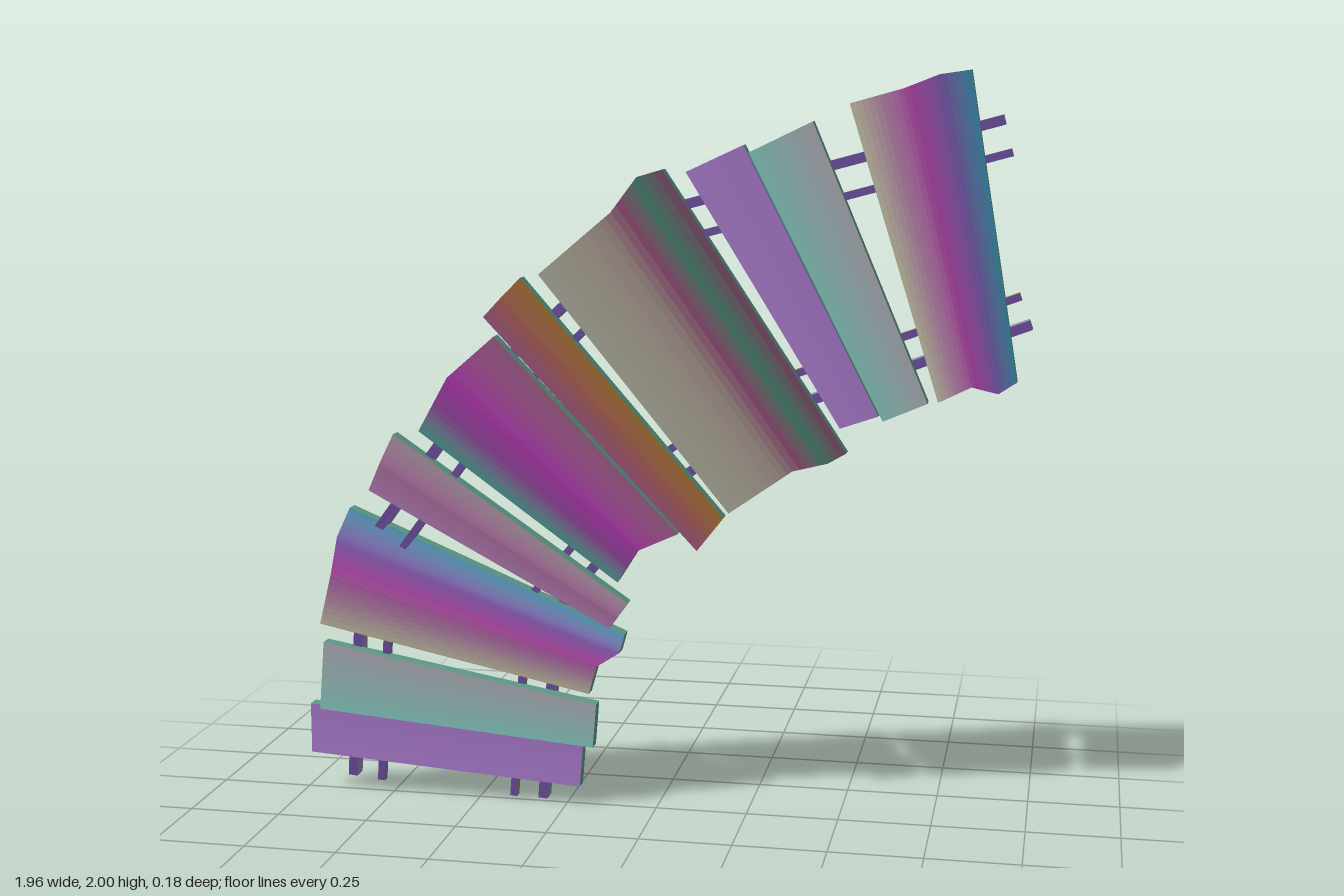
import * as THREE from 'three';
import { toCreasedNormals } from 'three/addons/utils/BufferGeometryUtils.js';

const STEPS = 20; // strips across a plank
const paint = (color) => new THREE.MeshStandardMaterial({ color });

// Solid from equal closed cross-section loops, capped at both ends
// (each loop holds n front points followed by n back points in reverse);
// materials: the caps first, then one for each side of the loop
function loft(name, loops, crease, materials) {
  const m = loops[0].length, n = m / 2, index = [];
  const geometry = new THREE.BufferGeometry();
  const quad = (a, b, c, d, material) => {
    geometry.addGroup(index.length, 6, material);
    index.push(a, b, c, a, c, d);
  };
  for (let s = 0; s < loops.length - 1; s++) {
    for (let k = 0; k < m; k++) {
      const j = (k + 1) % m, a = s * m, b = a + m;
      quad(a + k, b + k, b + j, a + j, k + 1);
    }
  }
  const e = (loops.length - 1) * m;
  for (let i = 0; i < n - 1; i++) {
    const b = m - 1 - i;
    quad(i, i + 1, b - 1, b, 0);
    quad(e + i, e + b, e + b - 1, e + i + 1, 0);
  }
  geometry.setFromPoints(loops.flat());
  geometry.setIndex(index);
  const mesh = new THREE.Mesh(toCreasedNormals(geometry, crease), materials);
  mesh.name = name;
  return mesh;
}

// Plank styles: front and back colours across the width, and
// a profile of [fraction, outer bulge, inner bulge, drop]
const flat = [[0, 0, 0, 0], [1, 0, 0, 0]];
const rounded = [[0, 0, 0, 0.005], [0.5, 0, 0, 0], [1, 0, 0, 0.012]];
const violet = { profile: flat, front: [0xaa7acb, 0xa474c6], back: [0xd29f6c, 0xcc9a6a] };
const teal = { profile: flat, front: [0x80c4bc, 0xa8a6b0], back: [0xd8876f, 0xcc8468] };
const rolled = {
  profile: [[0, 0, 0, 0.01], [0.45, 0, -0.02, 0], [0.75, 0.01, 0.015, 0.012], [1, 0, 0, 0.035]],
  front: [0xc0bca0, 0xb080a4, 0xb03fa6, 0x7a58b0, 0x3592b2],
  back: [0xd0a850, 0xcfc038, 0xa8ac34, 0x5fa630, 0xc84754],
};
const mauve = { profile: rounded, front: [0xb07ab0, 0xaa6a9c, 0xa08c98], back: [0xa0a838, 0x68b028, 0x5fa630] };
const folded = {
  profile: [[0, 0, 0, 0.025], [0.5, 0.028, -0.033, 0], [1, 0, 0, 0]],
  front: [0x46a098, 0x94489e, 0xb036b0, 0xa85098, 0x9a5c80],
  back: [0x4887d8, 0x6478d6, 0x7d6cd6],
};
const brown = { profile: rounded, front: [0xa05480, 0xa45c4c, 0xa06c24], back: [0x7d6cd6, 0x8757d8] };
const ridged = {
  profile: [[0, 0, 0, 0], [0.6, 0, -0.025, 0], [0.85, 0.027, 0, 0.015], [1, 0, 0, 0.035]],
  front: [0xa8a898, 0xa8a494, 0xa89c90, 0xa09088, 0x8c4470, 0x387c68, 0x7c3864],
  back: [0x90b0a4, 0xb0ac94, 0xcc9f78, 0xc09c70],
};

// Colour at fraction u along an evenly spaced ramp
function ramp(colors, u) {
  const t = u * (colors.length - 1), i = Math.min(Math.floor(t), colors.length - 2);
  return new THREE.Color(colors[i]).lerp(new THREE.Color(colors[i + 1]), t - i);
}

// Profile values at fraction u
function sample(profile, u) {
  const i = Math.max(profile.findIndex((p) => p[0] >= u), 1);
  const a = profile[i - 1], b = profile[i];
  return a.map((v, k) => THREE.MathUtils.lerp(v, b[k], (u - a[0]) / (b[0] - a[0])));
}

// Plank from its four corners; zOut and zIn are the front heights of its ends
function plank({ profile, front, back }, corners, zOut, zIn) {
  const [o0, o1, i0, i1] = corners.map(([x, y]) => new THREE.Vector3(x, y, 0));
  const along = i0.clone().add(i1).sub(o0).sub(o1).normalize();
  const sections = Array.from({ length: STEPS + 1 }, (_, i) => sample(profile, i / STEPS));
  const loop = (a, b, z, bulge) => {
    const face = sections.map((p) =>
      a.clone().lerp(b, p[0]).addScaledVector(along, bulge(p)).setZ(z - p[3]));
    return [...face, ...face.map((v) => v.clone().setZ(v.z - 0.04)).reverse()];
  };
  const edge = paint(0x5f9f8c);
  const strips = (colors) =>
    Array.from({ length: STEPS }, (_, i) => paint(ramp(colors, (i + 0.5) / STEPS)));
  const materials = [edge, ...strips(front), edge, ...strips(back).reverse(), edge];
  return loft('plank', [loop(o0, o1, zOut, (p) => -p[1]), loop(i0, i1, zIn, (p) => p[2])], 0.8, materials);
}

// Mitred bar along a path, shifted sideways by offset and forward by lift
function rail(name, path, color, width, depth, offset = 0, lift = 0) {
  const points = path.map((p) => new THREE.Vector3(...p));
  const dir = (a, b) => b.clone().sub(a).setZ(0).normalize();
  const loops = points.map((p, i) => {
    const d0 = dir(points[Math.max(i - 1, 0)], points[Math.max(i, 1)]);
    const d1 = i < points.length - 1 ? dir(p, points[i + 1]) : d0;
    const t = d0.clone().add(d1).normalize();
    const side = new THREE.Vector3(-t.y, t.x, 0).divideScalar(t.dot(d1));
    const corner = (s, f) => p.clone().addScaledVector(side, offset + s * width / 2)
      .setZ(p.z + lift + f * depth / 2);
    return [corner(1, 1), corner(-1, 1), corner(-1, -1), corner(1, -1)].reverse();
  });
  // Ends, then back, inward, front and outward sides
  const sideColor = paint(0x6a4c9c), face = paint(color);
  return loft(name, loops, 0.1, [face, sideColor, face, sideColor, face]);
}

export function createModel() {
  const group = new THREE.Group();

  // Fan of planks from the low end of the bend to the high end:
  // outer lower, outer upper, inner lower, inner upper corner
  const planks = [
    [violet, [[-0.98, 0.11], [-0.98, 0.25], [-0.21, 0.055], [-0.2, 0.18]]],
    [teal, [[-0.945, 0.243], [-0.93, 0.435], [-0.17, 0.173], [-0.16, 0.295]]],
    [rolled, [[-0.935, 0.49], [-0.85, 0.815], [-0.18, 0.325], [-0.085, 0.49]]],
    [mauve, [[-0.78, 0.875], [-0.71, 1.03], [-0.12, 0.515], [-0.07, 0.585]]],
    [folded, [[-0.64, 1.04], [-0.42, 1.305], [-0.1, 0.64], [0.07, 0.785]]],
    [brown, [[-0.45, 1.355], [-0.35, 1.46], [0.12, 0.74], [0.19, 0.83]]],
    [ridged, [[-0.3, 1.47], [0.025, 1.745], [0.205, 0.845], [0.51, 1.01]]],
    [violet, [[0.09, 1.74], [0.24, 1.81], [0.495, 1.08], [0.595, 1.115]]],
    [teal, [[0.25, 1.79], [0.415, 1.87], [0.605, 1.1], [0.72, 1.15]]],
    [rolled, [[0.505, 1.915], [0.81, 2], [0.745, 1.15], [0.945, 1.205]]],
  ];
  planks.forEach(([style, corners], i) => {
    // The fan bows forward in the middle, most at the outer side
    const bow = Math.sin(Math.PI * i / (planks.length - 1));
    group.add(plank(style, corners, 0.027 + 0.063 * bow, 0.022 + 0.038 * bow));
  });

  // Heavy rails behind the planks, each with a thin rail beside it
  const outerPath = [
    [-0.875, 0.035, -0.035], [-0.82, 0.69, 0.01], [-0.46, 1.18, 0.025], [0.03, 1.64, 0.015], [0.895, 1.875, -0.045],
  ];
  const innerPath = [
    [-0.325, 0.002, -0.04], [-0.28, 0.54, -0.03], [-0.02, 0.86, -0.025], [0.32, 1.11, -0.025], [0.975, 1.35, -0.07],
  ];
  group.add(rail('outerRail', outerPath, 0x9a88b4, 0.026, 0.045));
  group.add(rail('innerRail', innerPath, 0x8490a8, 0.026, 0.045));
  group.add(rail('outerThinRail', outerPath, 0x8e68b0, 0.02, 0.025, -0.085, 0.015));
  group.add(rail('innerThinRail', innerPath, 0x88905c, 0.02, 0.025, 0.08, 0.025));

  return group;
}
